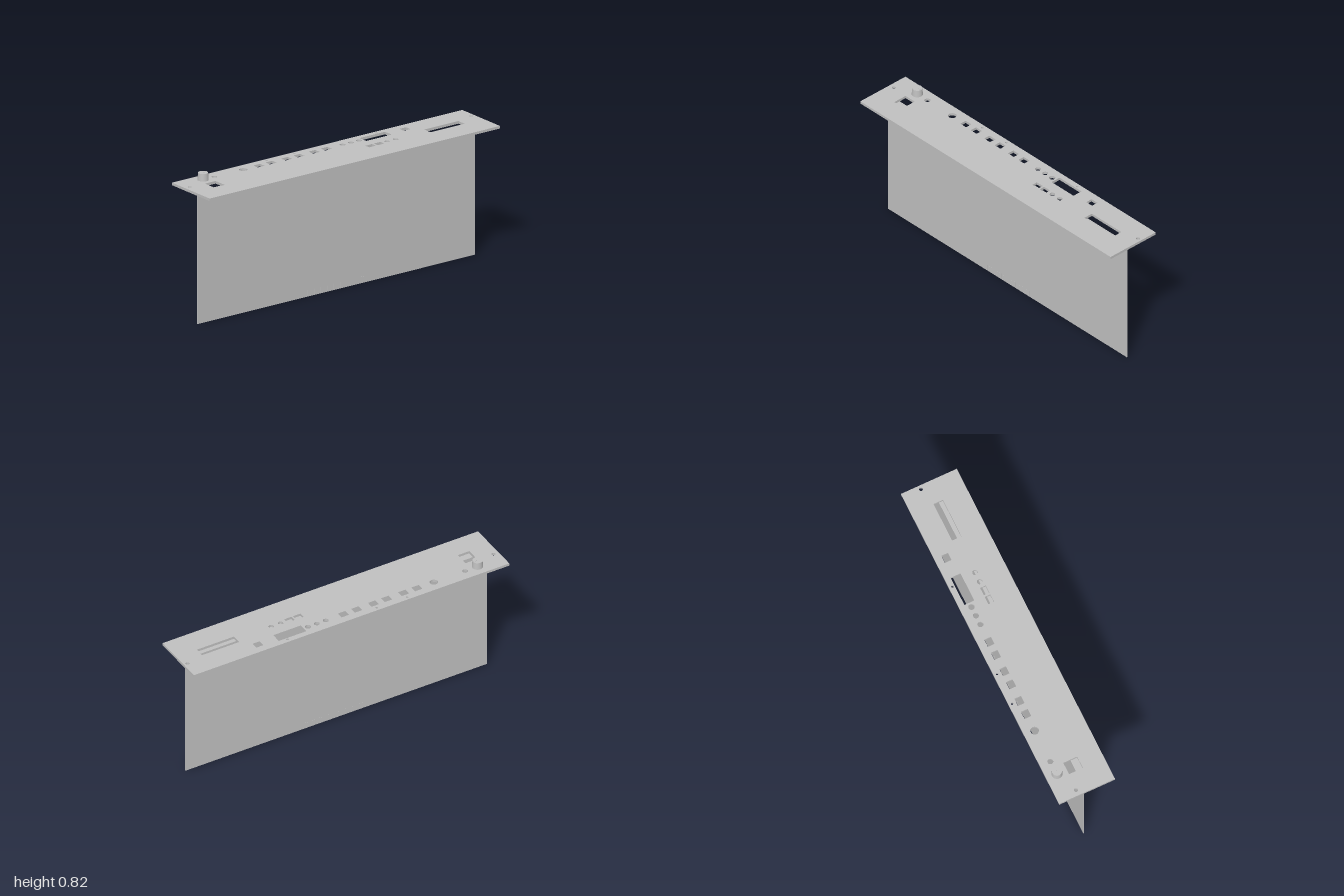
import * as THREE from 'three';

const grey = new THREE.MeshStandardMaterial({ color: 0xbfbfbf });
grey.name = 'plain grey';

function add(parent, name, geometry, x = 0, y = 0, z = 0) {
  const mesh = new THREE.Mesh(geometry, grey);
  mesh.name = name;
  mesh.position.set(x, y, z);
  parent.add(mesh);
  return mesh;
}

// Rectangle outline in plan: centre x, centre z, width, length
function rectPath(x, z, w, l, Type = THREE.Path) {
  const a = w / 2, b = l / 2;
  return new Type([[-a, -b], [a, -b], [a, b], [-a, b]].map(([i, j]) => new THREE.Vector2(x + i, z + j)));
}

function createPanel() {
  const shape = rectPath(-0.001, 0, 0.338, 2, THREE.Shape);

  // Rectangular cutouts: switches, displays and sockets
  const rects = [
    [-0.007, -0.752, 0.057, 0.235],
    [-0.107, -0.557, 0.04, 0.046],
    [-0.107, -0.355, 0.06, 0.175],
    [0, -0.296, 0.034, 0.047],
    [0, -0.238, 0.034, 0.047],
    [-0.005, 0.831, 0.084, 0.073],
  ];
  for (const z of [-0.015, 0.069, 0.175, 0.259, 0.366, 0.45]) rects.push([-0.107, z, 0.04, 0.046]);
  for (const r of rects) shape.holes.push(rectPath(...r));

  // Round holes: x, z, radius
  const rounds = [
    [-0.06, -0.977, 0.011], [-0.053, 0.968, 0.011],
    [-0.003, -0.412, 0.015], [-0.003, -0.353, 0.015],
    [-0.107, -0.24, 0.017], [-0.107, -0.184, 0.016], [-0.107, -0.127, 0.016],
    [-0.107, 0.558, 0.023], [-0.107, 0.757, 0.016],
    [-0.15, -0.393, 0.007], [-0.15, 0.172, 0.007], [-0.15, 0.363, 0.007],
  ];
  for (const [x, z, r] of rounds) {
    shape.holes.push(new THREE.Path().absarc(x, z, r, 0, Math.PI * 2, true));
  }

  // Lay the drawing flat: shape y becomes +z, thickness runs down
  const geometry = new THREE.ExtrudeGeometry(shape, { depth: 0.015, bevelEnabled: false, curveSegments: 16 });
  return geometry.rotateX(Math.PI / 2);
}

export function createModel() {
  const model = new THREE.Group();
  model.name = 'frontPanelModule';

  add(model, 'panel', createPanel(), 0, 0.78, 0);
  add(model, 'circuitBoard', new THREE.BoxGeometry(0.006, 0.765, 1.91), 0, 0.3825, 0);
  add(model, 'mountingFlange', new THREE.BoxGeometry(0.055, 0.007, 1.91), 0.0295, 0.7605, 0);

  // Edge contacts on both faces of the board
  const contacts = new THREE.Group();
  contacts.name = 'edgeContacts';
  model.add(contacts);
  const contact = new THREE.BoxGeometry(0.0006, 0.036, 0.014);
  for (const side of [-1, 1]) {
    for (let i = 0; i < 18; i++) {
      add(contacts, 'contact', contact, side * 0.0033, 0.019, -0.19 + i * 0.0224);
    }
  }

  // Tapered knob with a pointer mark
  const knob = new THREE.Group();
  knob.name = 'knob';
  knob.position.set(-0.105, 0.78, 0.836);
  model.add(knob);
  add(knob, 'knobBody', new THREE.CylinderGeometry(0.028, 0.031, 0.042, 40), 0, 0.021, 0);
  add(knob, 'pointer', new THREE.BoxGeometry(0.004, 0.002, 0.026), 0, 0.0425, -0.013);

  return model;
}
